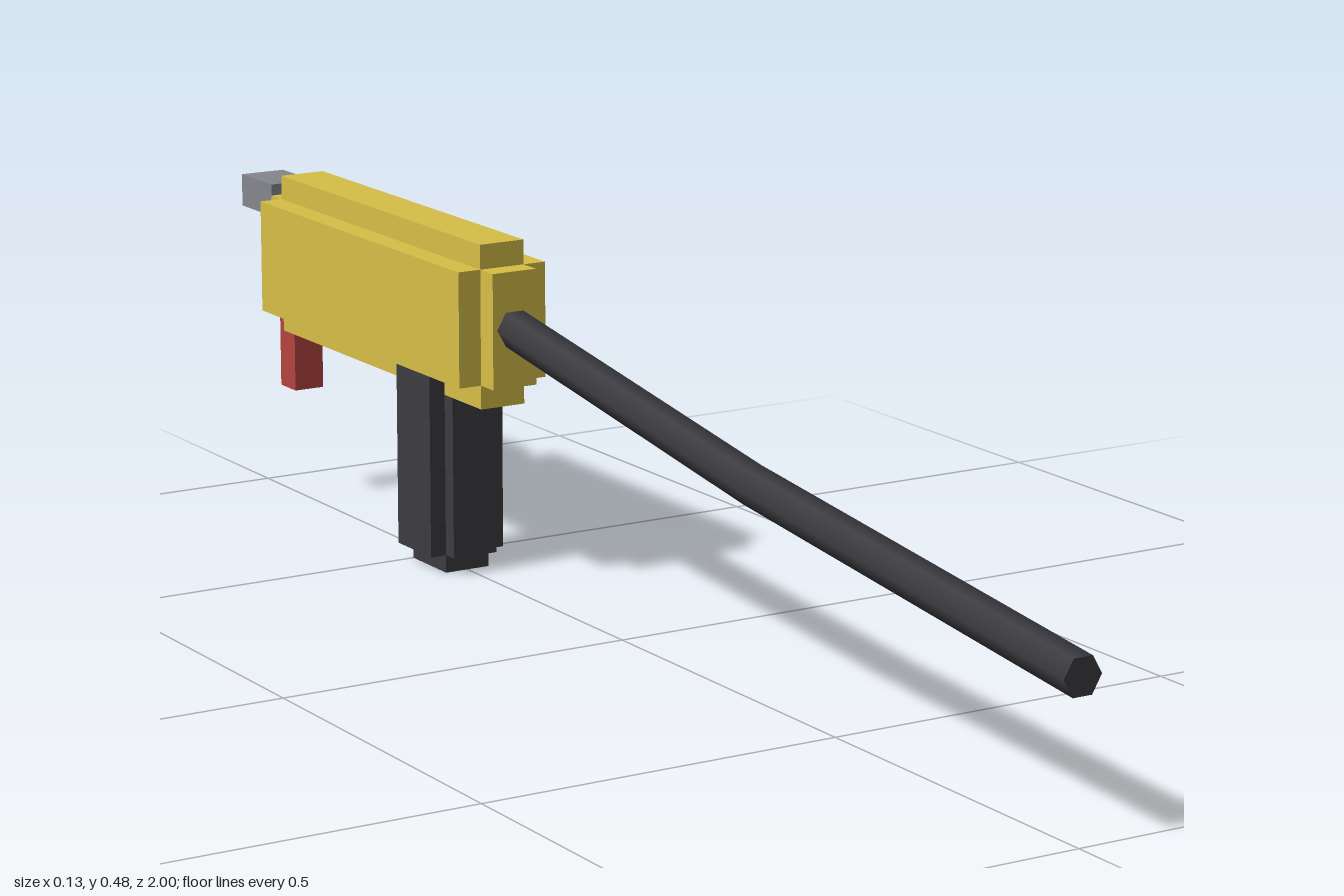
import * as THREE from 'three';

const material = (color) => new THREE.MeshStandardMaterial({ color });

// Box centred on x = 0, given half width and its y and z ranges
function addBox(parent, name, mat, halfX, y0, y1, z0, z1) {
  const mesh = new THREE.Mesh(new THREE.BoxGeometry(halfX * 2, y1 - y0, z1 - z0), mat);
  mesh.position.set(0, (y0 + y1) / 2, (z0 + z1) / 2);
  mesh.name = name;
  parent.add(mesh);
}

function addGroup(parent, name) {
  const group = new THREE.Group();
  group.name = name;
  parent.add(group);
  return group;
}

export function createModel() {
  const model = new THREE.Group();
  model.name = 'hoseNozzle';
  const yellow = material(0xd8bf48);
  const dark = material(0x3c3c41);
  const grey = material(0x85878d);
  const red = material(0xb5443f);

  // Body: three crossed boxes give stepped edges
  const body = addGroup(model, 'body');
  addBox(body, 'bodySides', yellow, 0.067, 0.284, 0.443, -0.878, -0.308);
  addBox(body, 'bodyTopAndBottom', yellow, 0.0335, 0.251, 0.477, -0.877, -0.308);
  addBox(body, 'bodyEnds', yellow, 0.0335, 0.284, 0.443, -0.91, -0.275);

  // Grip: crossed boxes with a smaller foot
  const grip = addGroup(model, 'grip');
  addBox(grip, 'gripSides', dark, 0.057, 0.025, 0.285, -0.5, -0.408);
  addBox(grip, 'gripFrontAndBack', dark, 0.0335, 0.025, 0.285, -0.522, -0.386);
  addBox(grip, 'gripFoot', dark, 0.0335, 0, 0.05, -0.5, -0.408);

  // Parts at the rear end
  addBox(model, 'rearLug', grey, 0.0335, 0.413, 0.459, -1, -0.908);
  addBox(model, 'trigger', red, 0.0225, 0.163, 0.285, -0.909, -0.865);

  // Hose: six-sided tube whose rings are moved onto a bent line
  const line = [[-0.29, 0.367], [0.31, 0.278], [1, 0.205]];
  const hose = new THREE.CylinderGeometry(0.027, 0.027, 2, 6, 2, false, Math.PI / 6);
  hose.rotateX(Math.PI / 2);
  const pos = hose.attributes.position;
  for (let i = 0; i < pos.count; i++) {
    const [z, y] = line[Math.round(pos.getZ(i)) + 1];
    pos.setY(i, pos.getY(i) + y);
    pos.setZ(i, z);
  }
  const hoseMesh = new THREE.Mesh(hose, dark);
  hoseMesh.name = 'hose';
  model.add(hoseMesh);

  return model;
}
